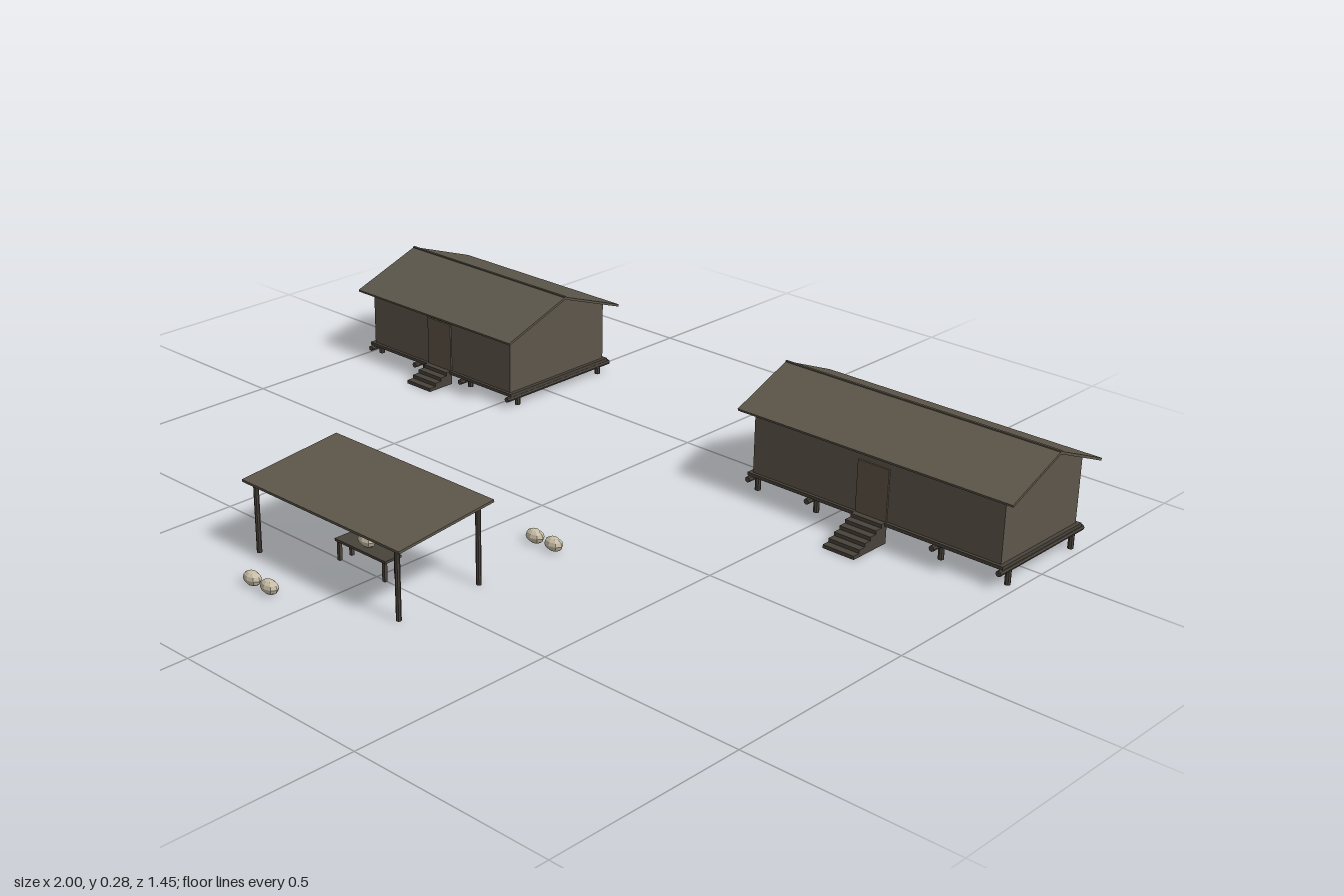
import * as THREE from 'three';

const mat = (name, color) => new THREE.MeshStandardMaterial({ name, color, flatShading: true });

export function createModel() {
  const wallMat = mat('wallWood', 0x5d564a);
  const roofMat = mat('roofWood', 0x5c564a);
  const darkMat = mat('darkTimber', 0x48423a);
  const doorMat = mat('doorWood', 0x5f5445);
  const potMat = mat('paleClay', 0xc9c0a8);
  const root = new THREE.Group();
  root.name = 'settlement';

  const add = (parent, name, geo, material, x, y, z) => {
    const m = new THREE.Mesh(geo, material);
    m.name = name;
    m.position.set(x, y, z);
    parent.add(m);
    return m;
  };
  // box given by its min and max corners
  const box = (parent, name, material, x0, x1, y0, y1, z0, z1) =>
    add(parent, name, new THREE.BoxGeometry(x1 - x0, y1 - y0, z1 - z0), material,
      (x0 + x1) / 2, (y0 + y1) / 2, (z0 + z1) / 2);

  // sloping slab between two (z, y) edges, its top surface on the line
  const slab = (parent, name, material, x0, x1, a, b, t) => {
    const dz = b[0] - a[0], dy = b[1] - a[1];
    const len = Math.hypot(dz, dy), ang = -Math.atan2(dy, dz);
    const m = add(parent, name, new THREE.BoxGeometry(x1 - x0, t, len), material,
      (x0 + x1) / 2, (a[1] + b[1]) / 2 - t / 2, (a[0] + b[0]) / 2);
    m.rotation.x = ang;
  };

  // raised gabled hut with logs below, door and steps
  const hut = (o) => {
    const g = new THREE.Group();
    g.name = o.name;
    root.add(g);
    const zc = -0.53, [x0, x1] = o.walls, d = o.wallHalf;
    const slope = (o.ridge - o.eave) / o.roofHalf;
    const peak = o.ridge - 0.006;

    // gabled body
    const s = new THREE.Shape();
    s.moveTo(-d, o.floor);
    s.lineTo(d, o.floor);
    s.lineTo(d, peak - slope * d);
    s.lineTo(0, peak);
    s.lineTo(-d, peak - slope * d);
    const body = new THREE.ExtrudeGeometry(s, { depth: x1 - x0, bevelEnabled: false });
    body.rotateY(Math.PI / 2);
    add(g, 'walls', body, wallMat, x0, 0, zc);

    // roof
    for (const side of [-1, 1]) {
      const eave = [zc + side * o.roofHalf, o.eave], top = [zc, o.ridge];
      if (side < 0) slab(g, 'roofBack', roofMat, ...o.roof, eave, top, 0.006);
      else slab(g, 'roofFront', roofMat, ...o.roof, top, eave, 0.006);
    }
    box(g, 'ridgeCap', roofMat, ...o.roof, o.ridge - 0.005, o.ridge + 0.002, zc - 0.003, zc + 0.003);

    // floor, cross logs and stilts
    box(g, 'floor', darkMat, x0 - 0.01, x1 + 0.01, o.floor - 0.008, o.floor, zc - d - 0.008, zc + d + 0.008);
    for (let i = 0; i < o.posts; i++) {
      const x = o.post0 + i * 0.17;
      const log = new THREE.CylinderGeometry(0.007, 0.007, d * 2 + 0.034, 8).rotateX(Math.PI / 2);
      add(g, 'crossLog', log, darkMat, x, o.floor - 0.014, zc);
      for (const side of [-1, 1]) {
        const h = o.floor - 0.014;
        add(g, 'stilt', new THREE.CylinderGeometry(0.007, 0.007, h, 8), darkMat, x, h / 2, zc + side * (d - 0.022));
      }
    }

    // door and steps
    const front = zc + d;
    box(g, 'door', doorMat, o.door - 0.042, o.door + 0.042, o.floor, o.floor + 0.125, front, front + 0.004);
    const run = (o.stepEnd - front) / o.steps;
    for (let i = 0; i < o.steps; i++) {
      const top = (o.floor * (i + 1)) / o.steps;
      box(g, 'step', darkMat, o.door - 0.042, o.door + 0.042, i === 0 ? 0 : top - 1.3 * o.floor / o.steps, top,
        front, o.stepEnd - i * run);
    }
  };

  hut({
    name: 'leftHut', walls: [-0.973, -0.468], wallHalf: 0.168, roof: [-1, -0.44], roofHalf: 0.197,
    floor: 0.036, eave: 0.183, ridge: 0.253, posts: 4, post0: -0.974, door: -0.722, steps: 4, stepEnd: -0.284,
  });
  hut({
    name: 'rightHut', walls: [0.296, 0.968], wallHalf: 0.143, roof: [0.265, 1], roofHalf: 0.168,
    floor: 0.052, eave: 0.208, ridge: 0.276, posts: 5, post0: 0.294, door: 0.631, steps: 6, stepEnd: -0.273,
  });

  // open shelter
  const shelter = new THREE.Group();
  shelter.name = 'shelter';
  root.add(shelter);
  slab(shelter, 'shelterRoof', roofMat, -0.295, 0.205, [0.35, 0.198], [0.617, 0.171], 0.006);
  for (const x of [-0.27, 0.18]) {
    for (const [z, h] of [[0.373, 0.19], [0.6, 0.167]]) {
      add(shelter, 'shelterPost', new THREE.CylinderGeometry(0.006, 0.006, h, 8), darkMat, x, h / 2, z);
    }
  }

  // table
  const table = new THREE.Group();
  table.name = 'table';
  root.add(table);
  box(table, 'tableTop', darkMat, -0.125, 0.037, 0.045, 0.051, 0.462, 0.508);
  for (const x of [-0.117, 0.028]) {
    for (const z of [0.468, 0.502]) {
      box(table, 'tableLeg', darkMat, x - 0.004, x + 0.004, 0, 0.046, z - 0.004, z + 0.004);
    }
  }

  // pale rounded bundles on the ground and table
  const spots = [[-0.158, 0, 0.709], [-0.101, 0, 0.709], [0.123, 0, 0.147], [0.18, 0, 0.147], [-0.045, 0.051, 0.485]];
  const pod = new THREE.SphereGeometry(1, 8, 6).scale(0.025, 0.0165, 0.0165);
  for (const [x, y, z] of spots) add(root, 'bundle', pod, potMat, x, y + 0.0165, z);

  return root;
}
